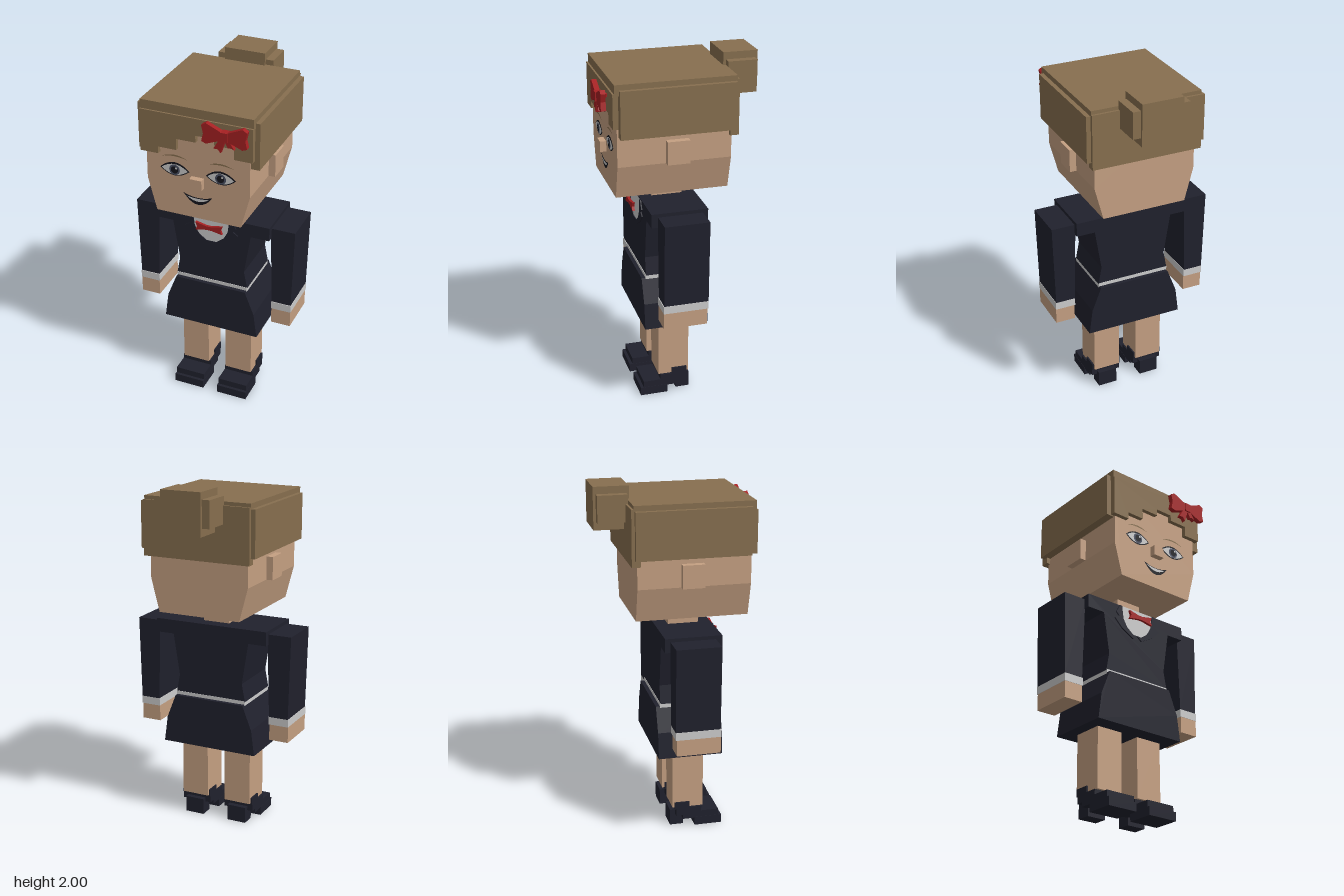
import * as THREE from 'three';

const mat = (name, color, side = THREE.FrontSide) => {
  const m = new THREE.MeshStandardMaterial({ color, side });
  m.name = name;
  return m;
};

export function createModel() {
  const skin = mat('skin', 0xc5a082), hair = mat('hair', 0x876f4f);
  const navy = mat('navy cloth', 0x20212d), white = mat('white', 0xcccccc);
  const red = mat('red ribbon', 0xa52022), black = mat('black', 0x15161d);
  const iris = mat('iris', 0x4b5265);
  const model = new THREE.Group();
  model.name = 'figure';

  const add = (name, geo, material, parent = model) => {
    const mesh = new THREE.Mesh(geo, material);
    mesh.name = name;
    parent.add(mesh);
    return mesh;
  };
  const group = (name) => {
    const g = new THREE.Group();
    g.name = name;
    model.add(g);
    return g;
  };
  // Box given by its limits
  const box = (name, m, x0, x1, y0, y1, z0, z1, parent) => {
    const geo = new THREE.BoxGeometry(x1 - x0, y1 - y0, z1 - z0);
    geo.translate((x0 + x1) / 2, (y0 + y1) / 2, (z0 + z1) / 2);
    return add(name, geo, m, parent);
  };
  const outline = (pts) => new THREE.Shape(pts.map(([x, y]) => new THREE.Vector2(x, y)));
  // Front outline pushed from z0 to z1
  const slab = (name, m, pts, z0, z1, parent) => {
    const geo = new THREE.ExtrudeGeometry(outline(pts), { depth: z1 - z0, bevelEnabled: false });
    geo.translate(0, 0, z0);
    return add(name, geo, m, parent);
  };
  // Flat painted detail facing +z
  const plate = (name, m, shape, z, parent) =>
    add(name, new THREE.ShapeGeometry(shape, 10).translate(0, 0, z), m, parent);
  // Right half of an outline, top to bottom, mirrored to a closed one
  const mirrored = (half) => [...half, ...half.map(([x, y]) => [-x, y]).reverse()];
  // Lens between two arcs: ends at x0/x1, control heights for top and bottom
  const lens = (x0, x1, y, top, bottom) => {
    const s = new THREE.Shape();
    s.moveTo(x0, y);
    s.quadraticCurveTo((x0 + x1) / 2, y + bottom, x1, y);
    s.quadraticCurveTo((x0 + x1) / 2, y + top, x0, y);
    return s;
  };
  const disc = (x, y, r) => {
    const s = new THREE.Shape();
    s.absarc(x, y, r, 0, Math.PI * 2);
    return s;
  };

  // Head
  const head = group('head');
  slab('skull', skin, mirrored([[0.295, 1.88], [0.295, 1.47], [0.245, 1.28]]), -0.26, 0.37, head);
  box('nose', skin, -0.035, 0.035, 1.47, 1.53, 0.365, 0.405, head);
  box('neck', skin, -0.08, 0.08, 1.18, 1.29, -0.045, 0.13, head);

  // Face
  const face = group('face');
  for (const s of [-1, 1]) {
    box('ear', skin, s > 0 ? 0.29 : -0.333, s > 0 ? 0.333 : -0.29, 1.47, 1.6, -0.02, 0.105, head);
    const x = s * 0.132, y = 1.552;
    plate('eyeOutline', black, lens(x - 0.085, x + 0.085, y, 0.082, -0.076), 0.372, face);
    plate('eyeWhite', white, lens(x - 0.076, x + 0.076, y, 0.062, -0.064), 0.374, face);
    plate('iris', iris, disc(x, y - 0.002, 0.031), 0.376, face);
    plate('pupil', black, disc(x, y - 0.002, 0.021), 0.378, face);
    plate('eyeGlint', white, disc(x + 0.011, y + 0.01, 0.006), 0.38, face);
    plate('eyebrow', hair, lens(s * 0.132 - 0.072, s * 0.132 + 0.072, 1.619, 0.036, 0.018), 0.372, face);
  }
  plate('mouth', black, lens(-0.085, 0.085, 1.424, -0.036, -0.12), 0.372, face);
  plate('teeth', white, lens(-0.066, 0.066, 1.41, -0.016, -0.052), 0.374, face);

  // Hair: cap, sides, back, stepped fringe and bun
  const hairdo = group('hair');
  box('hairTop', hair, -0.318, 0.318, 1.87, 1.93, -0.28, 0.385, hairdo);
  box('hairBack', hair, -0.318, 0.318, 1.6, 1.91, -0.293, -0.245, hairdo);
  for (const s of [-1, 1])
    box('hairSide', hair, s > 0 ? 0.29 : -0.343, s > 0 ? 0.343 : -0.29, 1.637, 1.9, -0.275, 0.36, hairdo);
  const fringe = [[-0.318, 1.88], [-0.318, 1.64]];
  const steps = [[-0.215, 1.64], [-0.11, 1.68], [0, 1.745], [0.105, 1.785], [0.215, 1.75], [0.318, 1.69]];
  steps.forEach(([x, y], i) => fringe.push([i ? steps[i - 1][0] : -0.318, y], [x, y]));
  fringe.splice(1, 1);
  fringe.push([0.318, 1.88]);
  slab('fringe', hair, fringe, 0.365, 0.395, hairdo);
  box('bun', hair, -0.118, 0.118, 1.765, 2, -0.46, -0.265, hairdo);
  box('bunSides', hair, -0.163, 0.163, 1.81, 1.96, -0.445, -0.28, hairdo);

  // Hair bow
  const bow = group('hairBow');
  bow.position.set(0.185, 1.84, 0);
  box('bowPin', red, -0.009, 0.009, -0.009, 0.009, 0.39, 0.43, bow);
  box('bowKnot', red, -0.019, 0.019, -0.025, 0.025, 0.42, 0.46, bow);
  for (const s of [-1, 1]) {
    const m = (pts) => pts.map(([x, y]) => [s * x, y]);
    slab('bowLoop', red, m([[0, 0.016], [0.1, 0.06], [0.125, 0.045], [0.115, 0], [0.125, -0.045],
      [0.1, -0.055], [0, -0.016]]), 0.426, 0.454, bow);
  }
  slab('bowTail', red, [[-0.016, 0], [-0.06, -0.075], [-0.035, -0.075], [-0.02, -0.095], [0.01, 0]], 0.428, 0.452, bow);
  slab('bowTail', red, [[-0.01, 0], [0.02, -0.06], [0.035, -0.055], [0.055, -0.065], [0.016, 0]], 0.428, 0.452, bow);

  // Jacket, shirt front and lapels
  const jacket = group('jacket');
  slab('torso', navy, mirrored([[0.343, 1.2], [0.343, 1.12], [0.235, 1.12], [0.197, 0.88], [0.217, 0.775]]),
    -0.12, 0.2, jacket);
  const neckline = [[0.11, 1.198], [0.1, 1.12], [0.075, 1.075], [0.03, 1.04]];
  plate('shirtFront', white, outline(mirrored(neckline)), 0.203, jacket);
  for (const s of [-1, 1])
    slab('lapel', navy, [...neckline, [0, 1.04], [0.03, 1.015], [0.11, 1.06], [0.16, 1.11], [0.13, 1.13], [0.15, 1.15],
      [0.125, 1.198]].map(([x, y]) => [s * x, y]), 0.199, 0.207, jacket);
  slab('neckBow', red, [[-0.08, 1.167], [-0.015, 1.153], [0.015, 1.153], [0.08, 1.167], [0.07, 1.14],
    [0.08, 1.118], [0.015, 1.13], [-0.015, 1.13], [-0.08, 1.118], [-0.07, 1.14]], 0.225, 0.24, jacket);

  // Belt and skirt
  box('belt', white, -0.216, 0.216, 0.75, 0.78, -0.122, 0.203);
  slab('skirt', navy, mirrored([[0.213, 0.76], [0.268, 0.62], [0.288, 0.47]]), -0.145, 0.225);

  // Arms, legs and shoes on both sides
  for (const s of [-1, 1]) {
    const side = group(s > 0 ? 'leftLimbs' : 'rightLimbs');
    const limb = (name, m, x0, x1, ...rest) =>
      box(name, m, Math.min(s * x0, s * x1), Math.max(s * x0, s * x1), ...rest, side);
    slab('sleeve', navy, [[0.338, 1.18], [0.479, 1.18], [0.467, 0.7], [0.353, 0.7]].map(([x, y]) => [s * x, y]),
      -0.09, 0.163, side);
    limb('cuff', white, 0.351, 0.469, 0.655, 0.7, -0.09, 0.167);
    limb('hand', skin, 0.353, 0.467, 0.56, 0.655, -0.083, 0.165);
    limb('leg', skin, 0.055, 0.218, 0.12, 0.49, -0.05, 0.13);
    limb('toe', navy, 0.045, 0.23, 0, 0.05, 0.08, 0.24);
    limb('toeCap', navy, 0.047, 0.228, 0.045, 0.088, 0.01, 0.222);
    limb('instep', navy, 0.047, 0.228, 0.07, 0.118, -0.03, 0.12);
    limb('ankle', navy, 0.047, 0.228, 0.11, 0.153, -0.037, 0.05);
    limb('heel', navy, 0.08, 0.195, 0, 0.095, -0.06, 0.02);
  }
  return model;
}
